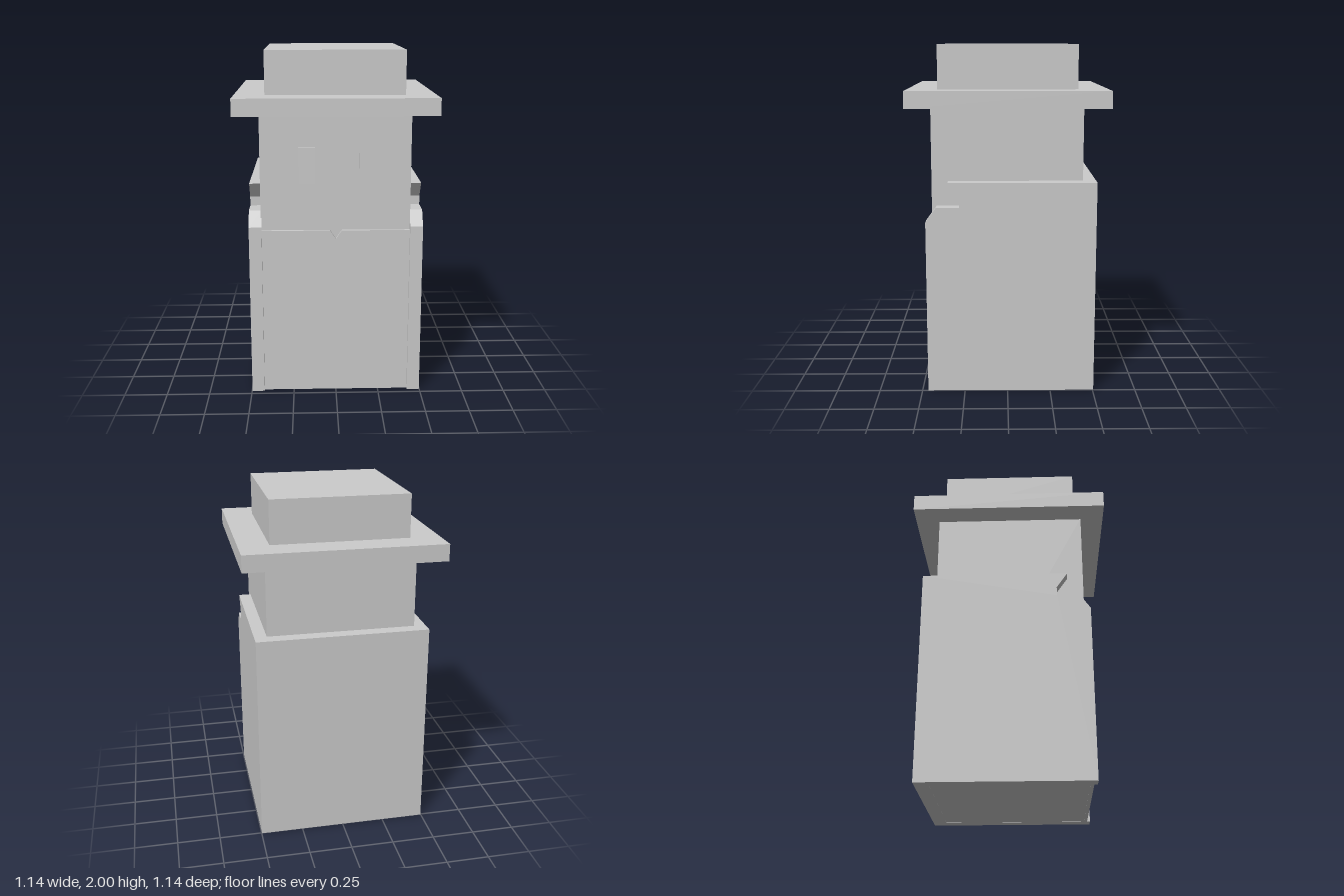
import * as THREE from 'three';

export function createModel() {
  const group = new THREE.Group();
  const material = new THREE.MeshStandardMaterial({ color: 0xcccccc, flatShading: true });

  const add = (name, geometry) => {
    const mesh = new THREE.Mesh(geometry, material);
    mesh.name = name;
    group.add(mesh);
    return mesh;
  };
  // Box given by its limits on each axis
  const box = (name, [x0, x1], [y0, y1], [z0, z1]) =>
    add(name, new THREE.BoxGeometry(x1 - x0, y1 - y0, z1 - z0)
      .translate((x0 + x1) / 2, (y0 + y1) / 2, (z0 + z1) / 2));
  const extrude = (points, depth) => new THREE.ExtrudeGeometry(
    new THREE.Shape(points.map(([a, b]) => new THREE.Vector2(a, b))),
    { depth, bevelEnabled: false });

  // Head and inner body in one block
  box('headAndBody', [-0.43, 0.426], [0.001, 1.66], [-0.43, 0.432]);

  // Square hat
  box('hatBrim', [-0.57, 0.566], [1.655, 1.752], [-0.57, 0.566]);
  box('hatCrown', [-0.397, 0.393], [1.752, 2], [-0.397, 0.393]);

  // Raised eyes
  box('rightEye', [-0.212, -0.116], [1.255, 1.466], [0.42, 0.443]);
  box('leftEye', [0.134, 0.23], [1.255, 1.466], [0.42, 0.443]);

  // Shirt front with a small notch at the collar
  add('shirtFront', extrude([
    [-0.425, 0], [0.428, 0], [0.428, 0.985], [0.034, 0.985],
    [0, 0.935], [-0.034, 0.985], [-0.425, 0.985],
  ], 0.02).translate(0, 0, 0.428));

  // Coat sides, with the lapel cut out of the upper front corner (z, y)
  const sideProfile = [
    [-0.505, 0], [0.466, 0], [0.466, 1.01], [0.405, 1.095],
    [0.275, 1.095], [0.275, 1.147], [0.338, 1.238], [-0.505, 1.238],
  ];
  for (const [name, outerX] of [['coatLeft', 0.498], ['coatRight', -0.425]]) {
    add(name, extrude(sideProfile, 0.073).rotateY(-Math.PI / 2).translate(outerX, 0, 0));
  }

  // Coat back closes the gap between the sides
  box('coatBack', [-0.426, 0.426], [0, 1.238], [-0.505, -0.425]);

  return group;
}
